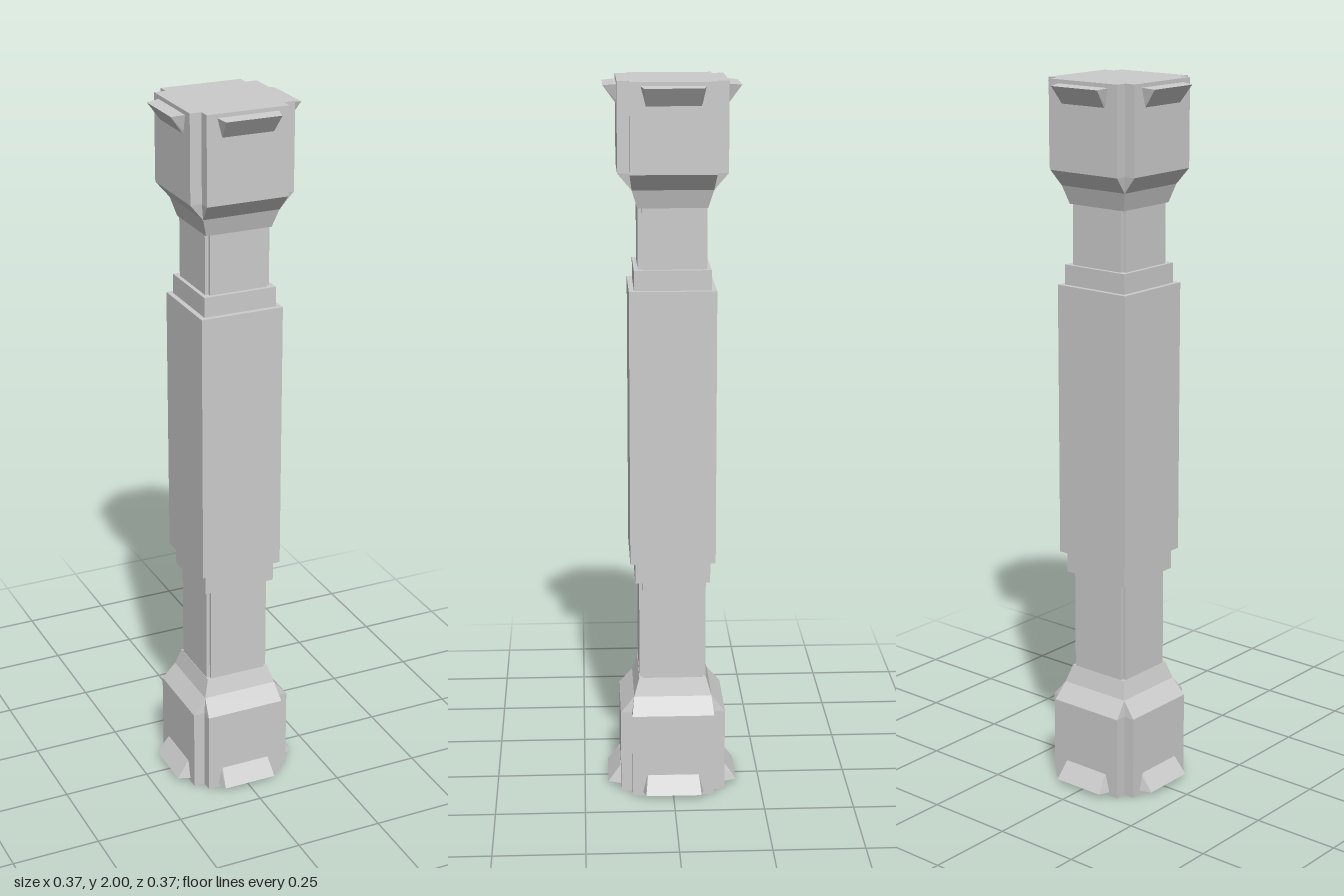
import * as THREE from 'three';

const material = new THREE.MeshStandardMaterial({ color: 0xcccccc, flatShading: true });

// Square outline with a notch cut from each corner: h = half width, a = half width of each face
function ring([y, h, a]) {
  const points = [];
  for (let i = 0; i < 4; i++) {
    const c = [1, 0, -1, 0][i], s = [0, 1, 0, -1][i];
    for (const [x, z] of [[h, a], [a, a], [a, h]]) {
      points.push(new THREE.Vector3(x * c - z * s, y, x * s + z * c));
    }
  }
  return points;
}

// Flat-shaded solid through rings of corners listed bottom to top, closed at both ends
function loft(name, rings) {
  const positions = [];
  const face = (a, b, c) => {
    const area = b.clone().sub(a).cross(c.clone().sub(a)).length();
    if (area > 1e-8) for (const p of [a, b, c]) positions.push(p.x, p.y, p.z);
  };
  const n = rings[0].length;
  const centre = (r) => r.reduce((sum, p) => sum.add(p), new THREE.Vector3()).divideScalar(n);
  const first = rings[0], last = rings[rings.length - 1];
  const low = centre(first), high = centre(last);
  for (let i = 0; i < n; i++) {
    const j = (i + 1) % n;
    for (let k = 0; k < rings.length - 1; k++) {
      const r = rings[k], s = rings[k + 1];
      face(r[i], s[i], s[j]);
      face(r[i], s[j], r[j]);
    }
    face(low, first[i], first[j]);
    face(high, last[j], last[i]);
  }
  const geometry = new THREE.BufferGeometry();
  geometry.setAttribute('position', new THREE.Float32BufferAttribute(positions, 3));
  geometry.computeVertexNormals();
  const mesh = new THREE.Mesh(geometry, material);
  mesh.name = name;
  return mesh;
}

function box(name, half, y0, y1) {
  const mesh = new THREE.Mesh(new THREE.BoxGeometry(half * 2, y1 - y0, half * 2), material);
  mesh.position.y = (y0 + y1) / 2;
  mesh.name = name;
  return mesh;
}

// Wedge-shaped lip on the +z face: flat underside, sloping outer face
function lip() {
  const v = (x, y, z) => new THREE.Vector3(x, y, z);
  return loft('lip', [
    [v(0.087, 0.01, 0.14), v(0.078, 0.014, 0.183), v(-0.078, 0.014, 0.183), v(-0.087, 0.01, 0.14)],
    [v(0.075, 0.062, 0.14), v(0.072, 0.062, 0.148), v(-0.072, 0.062, 0.148), v(-0.075, 0.062, 0.14)],
  ]);
}

// One end of the handle, built at the bottom
function endPiece() {
  const group = new THREE.Group();
  group.add(loft('head', [
    [0, 0.147, 0.115],
    [0.24, 0.147, 0.115],
    [0.285, 0.109, 0.109],
    [0.335, 0.094, 0.094],
  ].map(ring)));
  for (let i = 0; i < 4; i++) {
    const wedge = lip();
    wedge.rotation.y = i * Math.PI / 2;
    group.add(wedge);
  }
  group.add(box('collar', 0.104, 0.62, 0.69));
  return group;
}

export function createModel() {
  const model = new THREE.Group();

  // Central column
  model.add(loft('shaft', [[0.32, 0.093, 0.083], [1.68, 0.093, 0.083]].map(ring)));
  model.add(box('grip', 0.118, 0.68, 1.445));

  // Matching ends, the upper one turned over
  const lower = endPiece();
  lower.name = 'lowerEnd';
  const upper = endPiece();
  upper.name = 'upperEnd';
  upper.rotation.x = Math.PI;
  upper.position.y = 2;
  // The upper collar and neck sit slightly further from the tip of the handle
  upper.children.find((part) => part.name === 'collar').position.y = 0.535;
  model.add(lower, upper);
  return model;
}
